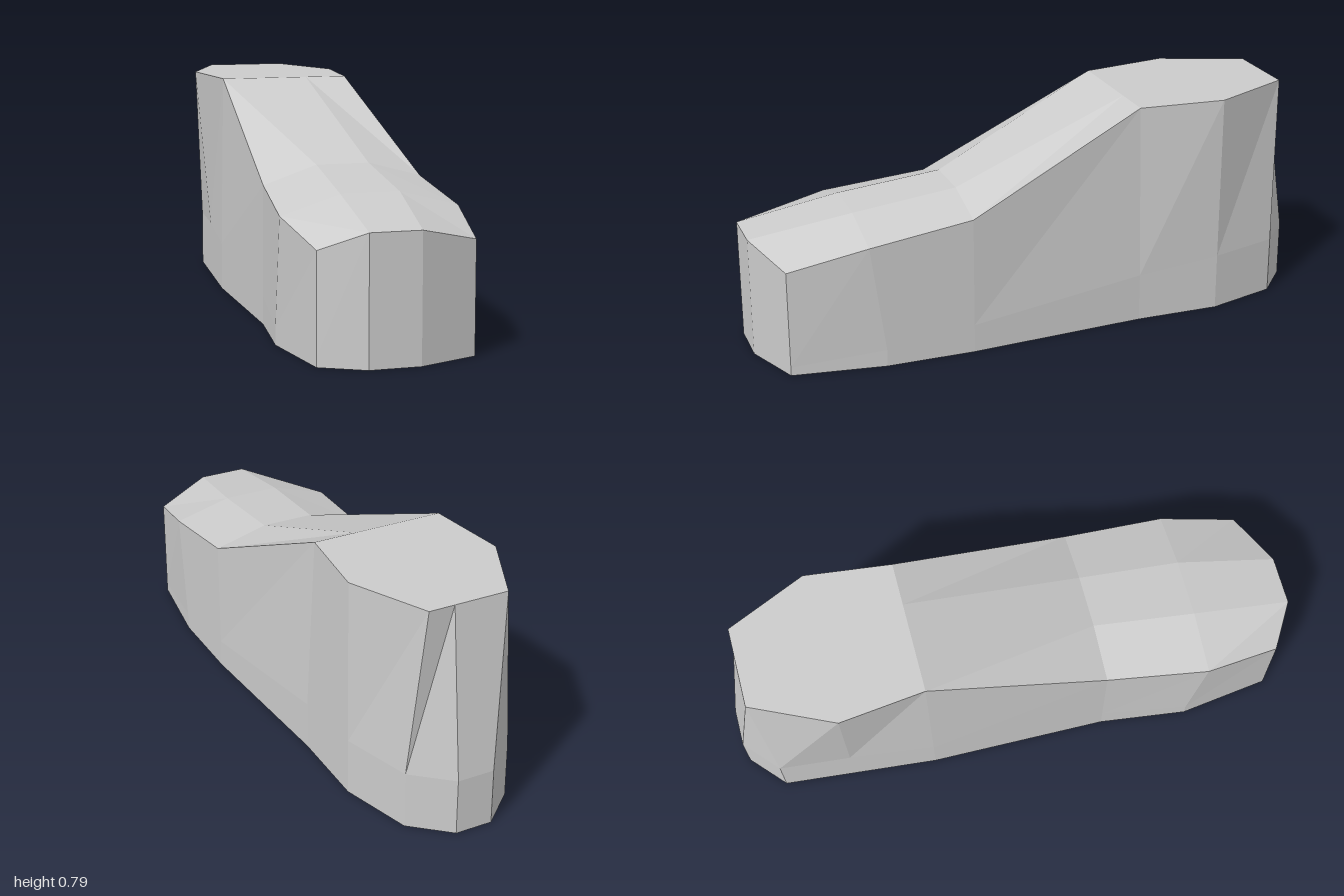
import * as THREE from 'three';

// Top surface, toe to heel: four points per row from +x to -x
const topRows = [
  { x: [0.255, 0.05, -0.12, -0.26], y: [0.37, 0.42, 0.42, 0.36], z: [0.92, 1, 1, 0.92] },
  { x: [0.3, 0.1, -0.1, -0.3], y: [0.435, 0.487, 0.487, 0.425], z: [0.65, 0.65, 0.65, 0.65] },
  { x: [0.3, 0.115, -0.07, -0.255], y: [0.485, 0.535, 0.535, 0.472], z: [0.29, 0.29, 0.29, 0.29] },
  { x: [0.23, 0.08, -0.08, -0.235], y: [0.78, 0.78, 0.78, 0.78], z: [-0.34, -0.34, -0.34, -0.34] },
  { x: [0.265, 0.09, -0.09, -0.27], y: [0.785, 0.785, 0.785, 0.785], z: [-0.64, -0.64, -0.64, -0.64] },
  { x: [0.14, 0.05, -0.055, -0.14], y: [0.79, 0.79, 0.79, 0.79], z: [-0.92, -0.92, -0.92, -0.92] },
];

// Sole outline [x, z], counter-clockwise from above, starting at the toe
const sole = [
  [0.05, 1], [0.255, 0.92], [0.3, 0.6], [0.3, 0.29], [0.26, -0.34], [0.262, -0.64], [0.19, -0.89], [0.062, -1],
  [-0.068, -1], [-0.19, -0.89], [-0.215, -0.64], [-0.245, -0.34], [-0.258, 0.29], [-0.3, 0.6], [-0.26, 0.92], [-0.12, 1],
];
// Height of the crease above the sole, toe to heel, shared by both sides
const creaseHeight = [0.03, 0.03, 0.06, 0.1, 0.17, 0.2, 0.2, 0.2];

function meshFromQuads(name, quads, material) {
  const positions = [];
  for (const [a, b, c, d] of quads) positions.push(...a, ...b, ...c, ...a, ...c, ...d);
  const geometry = new THREE.BufferGeometry();
  geometry.setAttribute('position', new THREE.Float32BufferAttribute(positions, 3));
  geometry.computeVertexNormals();
  const mesh = new THREE.Mesh(geometry, material);
  mesh.name = name;
  return mesh;
}

export function createModel() {
  const group = new THREE.Group();
  group.name = 'shoeForm';
  const material = new THREE.MeshStandardMaterial({ color: 0xcccccc, flatShading: true });

  // Upper: instep slope, toe and flat ankle top
  const rows = topRows.map(({ x, y, z }) => x.map((v, i) => [v, y[i], z[i]]));
  const upper = [];
  for (let r = 0; r < rows.length - 1; r++) {
    for (let c = 0; c < 3; c++) upper.push([rows[r][c], rows[r + 1][c], rows[r + 1][c + 1], rows[r][c + 1]]);
  }
  group.add(meshFromQuads('upperSurface', upper, material));

  // Side wall: sole outline, crease line and rim of the upper
  const bottom = sole.map(([x, z]) => [x, 0, z]);
  const crease = sole.map(([x, z], i) => [x, creaseHeight[Math.min(i, 15 - i)], z]);
  const rim = [
    rows[0][1], ...rows.map((row) => row[0]), rows[5][1],
    rows[5][2], ...rows.map((row) => row[3]).reverse(), rows[0][2],
  ];
  const wall = [];
  for (const [low, high] of [[bottom, crease], [crease, rim]]) {
    for (let i = 0; i < 16; i++) {
      const j = (i + 1) % 16;
      wall.push([low[i], low[j], high[j], high[i]]);
    }
  }
  group.add(meshFromQuads('sideWall', wall, material));

  // Flat underside, in strips across the outline
  const underside = [];
  for (let i = 0; i < 7; i++) underside.push([bottom[15 - i], bottom[14 - i], bottom[i + 1], bottom[i]]);
  group.add(meshFromQuads('sole', underside, material));

  return group;
}
